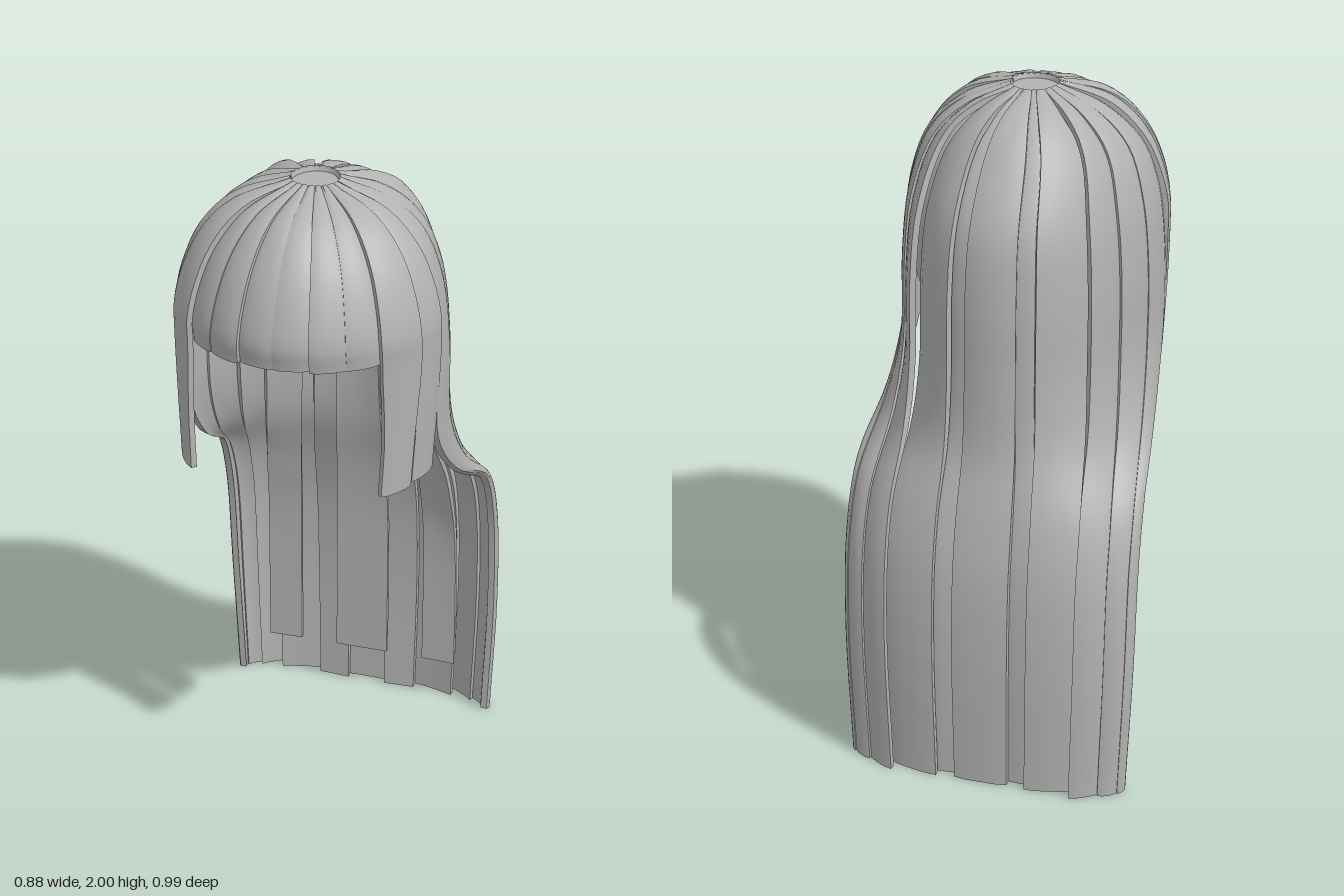
import * as THREE from 'three';
import { toCreasedNormals } from 'three/addons/utils/BufferGeometryUtils.js';

const hair = new THREE.MeshStandardMaterial({ color: 0xb2b2b2 });
hair.name = 'hair grey';

// Half-shell swept down from the crown. Each key: half width, middle z, middle y, side z, side y.
// u = 0 is the middle line, u = +-1 the sides; v counts keys. flatten squares off the lower sections.
function shell(keys, flatten = 0) {
  const mid = new THREE.CatmullRomCurve3(keys.map(k => new THREE.Vector3(k[0], k[2], k[1])));
  const side = new THREE.CatmullRomCurve3(keys.map(k => new THREE.Vector3(k[0], k[4], k[3])));
  const n = keys.length - 1;
  return (u, v) => {
    const t = Math.min(Math.max(v / n, 0), 1);
    const a = mid.getPoint(t), b = side.getPoint(t);
    const p = 1 + flatten * THREE.MathUtils.smoothstep(t, 0.55, 0.85);
    const k = (1 - Math.cos(u * Math.PI / 2)) ** p;
    return new THREE.Vector3(a.x * Math.sin(u * Math.PI / 2), a.y + (b.y - a.y) * k, a.z + (b.z - a.z) * k);
  };
}

// Closed thick ribbon lying on a shell between u0..u1 and v0..v1; narrow slims its lower end
function strand(name, f, sign, [u0, u1], [v0, v1], { thick = 0.025, lift = 0, tilt = 0, narrow = 0, cols = 5 } = {}) {
  const rows = Math.ceil((v1 - v0) * 5), pos = [], idx = [], ring = 2 * (cols + 1), e = 0.02;
  const normal = (u, v) => {
    const va = Math.max(v - e, v0), vb = Math.min(v + e, v1);
    const du = f(u + e, v).sub(f(u - e, v)), dv = f(u, vb).sub(f(u, va));
    return du.cross(dv).normalize().multiplyScalar(sign);
  };
  for (let i = 0; i <= rows; i++) {
    const v = v0 + (v1 - v0) * i / rows;
    const ramp = Math.min(1, v / 1.5);
    const slim = narrow * THREE.MathUtils.smoothstep(v, v1 - 2, v1 - 0.5);
    for (let j = 0; j < ring; j++) {
      const outer = j <= cols, w = (outer ? j : ring - 1 - j) / cols;
      const u = u0 + (u1 - u0) * w + slim * (0.5 - w);
      // soft bulge across the ribbon, slight tilt so that edges overlap, smoothed out at the crown
      const d = ramp * (lift + tilt * (w - 0.5)) + (outer ? -0.005 * (2 * w - 1) ** 4 : -thick);
      const p = f(u, v).addScaledVector(normal(u, v), d);
      pos.push(p.x, p.y, p.z);
    }
  }
  const tri = (a, b, c) => sign > 0 ? idx.push(a, b, c) : idx.push(a, c, b);
  for (let i = 0; i < rows; i++) for (let j = 0; j < ring; j++) {
    const a = i * ring + j, b = i * ring + (j + 1) % ring;
    tri(a, b, b + ring);
    tri(a, b + ring, a + ring);
  }
  // end faces
  const last = rows * ring;
  for (let j = 0; j < cols; j++) {
    const m = ring - 1 - j;
    tri(last + j, last + j + 1, last + m - 1);
    tri(last + j, last + m - 1, last + m);
    tri(j, m - 1, j + 1);
    tri(j, m, m - 1);
  }
  const g = new THREE.BufferGeometry();
  g.setAttribute('position', new THREE.Float32BufferAttribute(pos, 3));
  g.setIndex(idx);
  const mesh = new THREE.Mesh(toCreasedNormals(g, 0.7), hair);
  mesh.name = name;
  return mesh;
}

export function createModel() {
  const model = new THREE.Group();
  model.name = 'longHair';

  const back = shell([
    [0.07, 0.03, 1.995, 0.11, 1.995],
    [0.205, -0.10, 1.95, 0.13, 1.945],
    [0.31, -0.20, 1.86, 0.15, 1.85],
    [0.367, -0.31, 1.69, 0.165, 1.70],
    [0.388, -0.345, 1.50, 0.17, 1.50],
    [0.392, -0.356, 1.25, 0.155, 1.27],
    [0.41, -0.372, 1.03, 0.00, 1.09],
    [0.438, -0.42, 0.85, -0.24, 0.94],
    [0.445, -0.455, 0.68, -0.33, 0.75],
    [0.445, -0.473, 0.42, -0.37, 0.42],
    [0.43, -0.47, 0, -0.385, 0]
  ], 0.8);
  const front = shell([
    [0.07, 0.17, 1.995], [0.22, 0.32, 1.94], [0.317, 0.417, 1.84], [0.366, 0.474, 1.73],
    [0.384, 0.496, 1.645], [0.386, 0.489, 1.585], [0.382, 0.49, 1.40], [0.37, 0.505, 1.18]
  ].map(k => [...k, 0.11, k[2]]));
  const nape = shell([
    [0.35, -0.323, 1.46, 0.16, 1.46],
    [0.36, -0.333, 1.25, 0.15, 1.27],
    [0.38, -0.345, 1.03, 0.01, 1.09],
    [0.41, -0.378, 0.85, -0.18, 0.94],
    [0.425, -0.393, 0.68, -0.29, 0.72],
    [0.43, -0.395, 0.42, -0.35, 0.42],
    [0.43, -0.395, 0.16, -0.36, 0.16]
  ], 0.8);
  const capBack = shell([
    [0.05, 0.05, 1.97, 0.10, 1.97],
    [0.19, -0.07, 1.925, 0.10, 1.925],
    [0.28, -0.18, 1.84, 0.10, 1.84],
    [0.335, -0.28, 1.66, 0.10, 1.75],
    [0.35, -0.305, 1.36, 0.10, 1.65]
  ]);
  const capFront = shell([
    [0.05, 0.15, 1.97], [0.19, 0.27, 1.925], [0.28, 0.36, 1.84], [0.335, 0.42, 1.75], [0.35, 0.44, 1.65]
  ].map(k => [...k, 0.10, k[2]]));

  // Scalp cap and the small flat crown
  model.add(strand('capBack', capBack, 1, [-1, 1], [0, 4], { thick: 0.008, cols: 28 }));
  model.add(strand('capFront', capFront, -1, [-1, 1], [0, 4], { thick: 0.008, cols: 28 }));
  const crown = new THREE.Mesh(new THREE.CylinderGeometry(0.075, 0.08, 0.02, 10), hair);
  crown.name = 'crown';
  crown.position.set(0, 1.97, 0.1);
  model.add(crown);

  // Long back strands: a raised middle one and mirrored pairs, each [from, to, lift, tilt]
  model.add(strand('backMiddleStrand', back, 1, [-0.12, 0.12], [0, 10], { lift: 0.012, thick: 0.03 }));
  const pairs = [
    [0.09, 0.24, -0.012, 0.006], [0.205, 0.47, 0.004, -0.03], [0.435, 0.64, 0.012, -0.04],
    [0.61, 0.83, 0.002, -0.014], [0.79, 1.0, -0.002, -0.012]
  ];
  // Inner strand at the nape
  model.add(strand('napeMiddleStrand', nape, 1, [-0.125, 0.125], [0, 6], { thick: 0.02 }));

  for (const s of [1, -1]) {
    const label = s > 0 ? 'left' : 'right';
    const span = (a, b) => s > 0 ? [a, b] : [-b, -a];
    pairs.forEach(([a, b, lift, tilt], i) =>
      model.add(strand(`${label}BackStrand${i + 1}`, back, 1, span(a, b), [0, 10], { lift, tilt: tilt * s })));
    model.add(strand(`${label}NapeStrand`, nape, 1, span(0.31, 0.51), [0, 6], { thick: 0.02 }));

    // Fringe
    for (let i = 0; i < 3; i++)
      model.add(strand(`${label}FringeStrand${i + 1}`, front, -1, span(i * 0.168, i * 0.168 + 0.172), [0, 5],
        { lift: i === 1 ? 0.006 : 0.001, tilt: -0.008 * s, thick: 0.03 }));

    // Side locks hanging in front of the ears
    model.add(strand(`${label}FrontLock`, front, -1, span(0.5, 0.725), [0, 7], { lift: 0.016, thick: 0.022, narrow: 0.05 }));
    model.add(strand(`${label}SideLock`, front, -1, span(0.71, 0.92), [0, 7], { lift: 0.006, thick: 0.022, narrow: 0.03 }));
  }
  return model;
}
